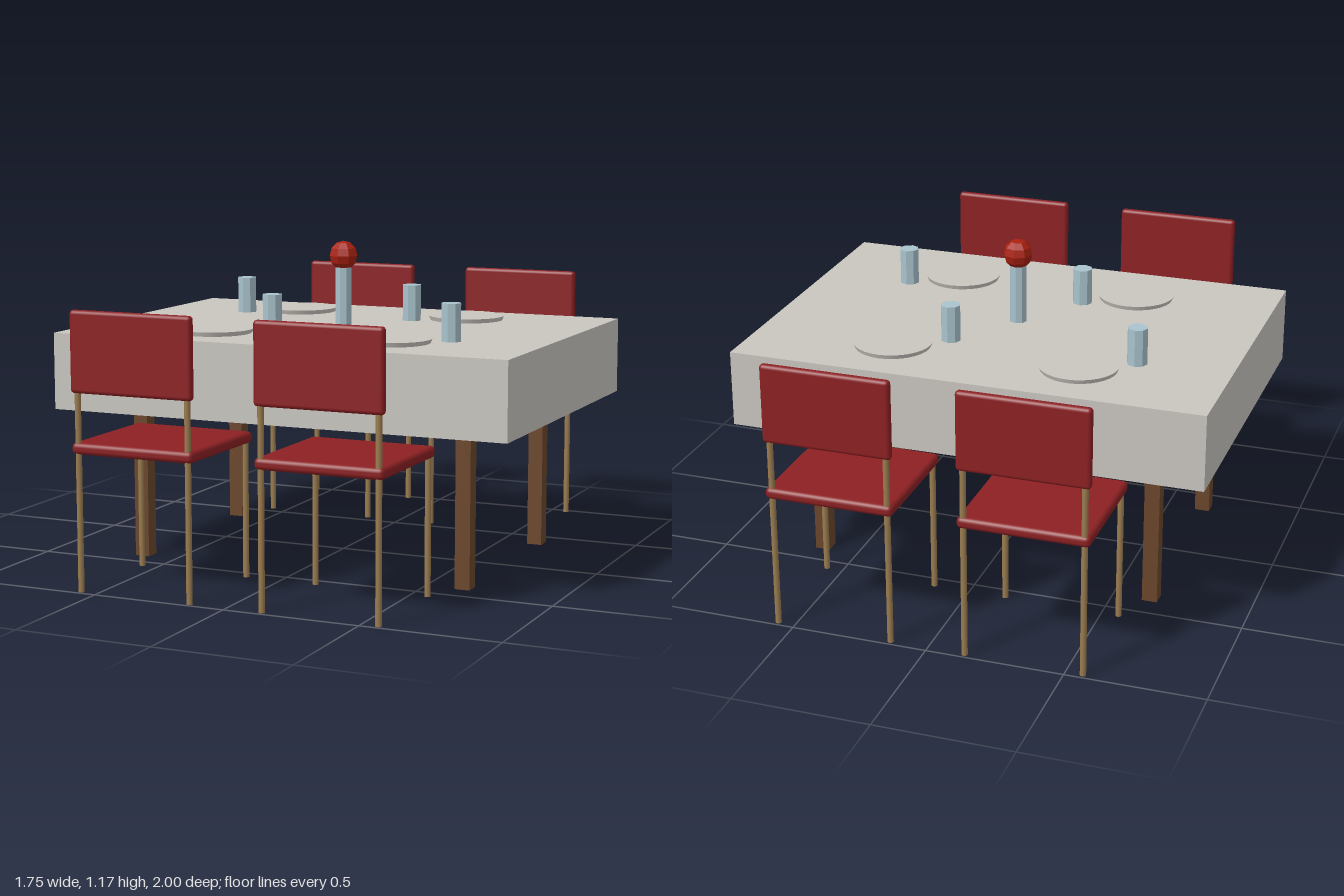
import * as THREE from 'three';
import { RoundedBoxGeometry } from 'three/addons/geometries/RoundedBoxGeometry.js';

const material = (name, color, flatShading = false) => {
  const m = new THREE.MeshStandardMaterial({ color, flatShading });
  m.name = name;
  return m;
};

export function createModel() {
  const cloth = material('linen', 0xc9c6bf);
  const red = material('redUpholstery', 0x8c2023);
  const brass = material('brass', 0x9a7c50);
  const wood = material('wood', 0x6b462b);
  const glass = material('paleGlass', 0xa9c3cd, true);
  const flowerRed = material('flowerRed', 0xa82010, true);

  const model = new THREE.Group();
  model.name = 'diningSet';

  const add = (parent, name, geometry, mat, x, y, z) => {
    const mesh = new THREE.Mesh(geometry, mat);
    mesh.name = name;
    mesh.position.set(x, y, z);
    parent.add(mesh);
    return mesh;
  };
  const group = (name) => {
    const g = new THREE.Group();
    g.name = name;
    model.add(g);
    return g;
  };
  const box = (w, h, d) => new THREE.BoxGeometry(w, h, d);
  const signs = [-1, 1];

  // Table: wooden top and four square legs
  const table = group('table');
  add(table, 'tableTop', box(1.46, 0.046, 0.96), wood, 0, 0.821, 0);
  for (const sx of signs) for (const sz of signs) {
    add(table, 'tableLeg', box(0.056, 0.8, 0.056), wood, sx * 0.639, 0.4, sz * 0.387);
  }

  // Tablecloth: thin top sheet with four hanging sides
  const W = 1.75, D = 1.25, T = 0.006, top = 0.853, hem = 0.572;
  const drop = top - T - hem, dropY = hem + drop / 2;
  const tablecloth = group('tablecloth');
  add(tablecloth, 'clothTop', box(W, T, D), cloth, 0, top - T / 2, 0);
  for (const s of signs) {
    add(tablecloth, 'clothLongSide', box(W, drop, T), cloth, 0, dropY, s * (D - T) / 2);
    add(tablecloth, 'clothShortSide', box(T, drop, D - 2 * T), cloth, s * (W - T) / 2, dropY, 0);
  }

  // Chairs: each is built with its back towards +z, then turned for the far side
  const seatGeo = new RoundedBoxGeometry(0.47, 0.042, 0.465, 3, 0.017);
  const backGeo = new RoundedBoxGeometry(0.47, 0.288, 0.032, 3, 0.014);
  const rod = (h) => new THREE.CylinderGeometry(0.011, 0.011, h, 10);
  const frontLegGeo = rod(0.5), rearLegGeo = rod(0.8);
  for (const side of signs) for (const x of [-0.35, 0.35]) {
    const chair = group('chair');
    chair.position.x = x;
    if (side < 0) chair.rotation.y = Math.PI;
    add(chair, 'seat', seatGeo, red, 0, 0.509, 0.765);
    add(chair, 'backrest', backGeo, red, 0, 0.846, 0.982);
    for (const s of signs) {
      add(chair, 'frontLeg', frontLegGeo, brass, s * 0.213, 0.25, 0.55);
      add(chair, 'rearLeg', rearLegGeo, brass, s * 0.213, 0.4, 0.981);
    }
  }

  // Place settings: a shallow plate and a tumbler for each seat
  const plateGeo = new THREE.CylinderGeometry(0.144, 0.138, 0.016, 32);
  const tumblerGeo = new THREE.CylinderGeometry(0.037, 0.037, 0.136, 8);
  for (const sx of signs) for (const sz of signs) {
    add(model, 'plate', plateGeo, cloth, sx * 0.35, top + 0.008, sz * 0.37);
    add(model, 'tumbler', tumblerGeo, glass, sx * 0.35 + sz * 0.18, top + 0.068, sz * 0.257);
  }

  // Centrepiece: slim vase holding a round bloom
  const centrepiece = group('centrepiece');
  add(centrepiece, 'vase', new THREE.CylinderGeometry(0.032, 0.032, 0.23, 8), glass, 0, top + 0.115, 0);
  add(centrepiece, 'bloom', new THREE.SphereGeometry(0.055, 8, 6), flowerRed, 0, 1.115, 0);

  return model;
}
